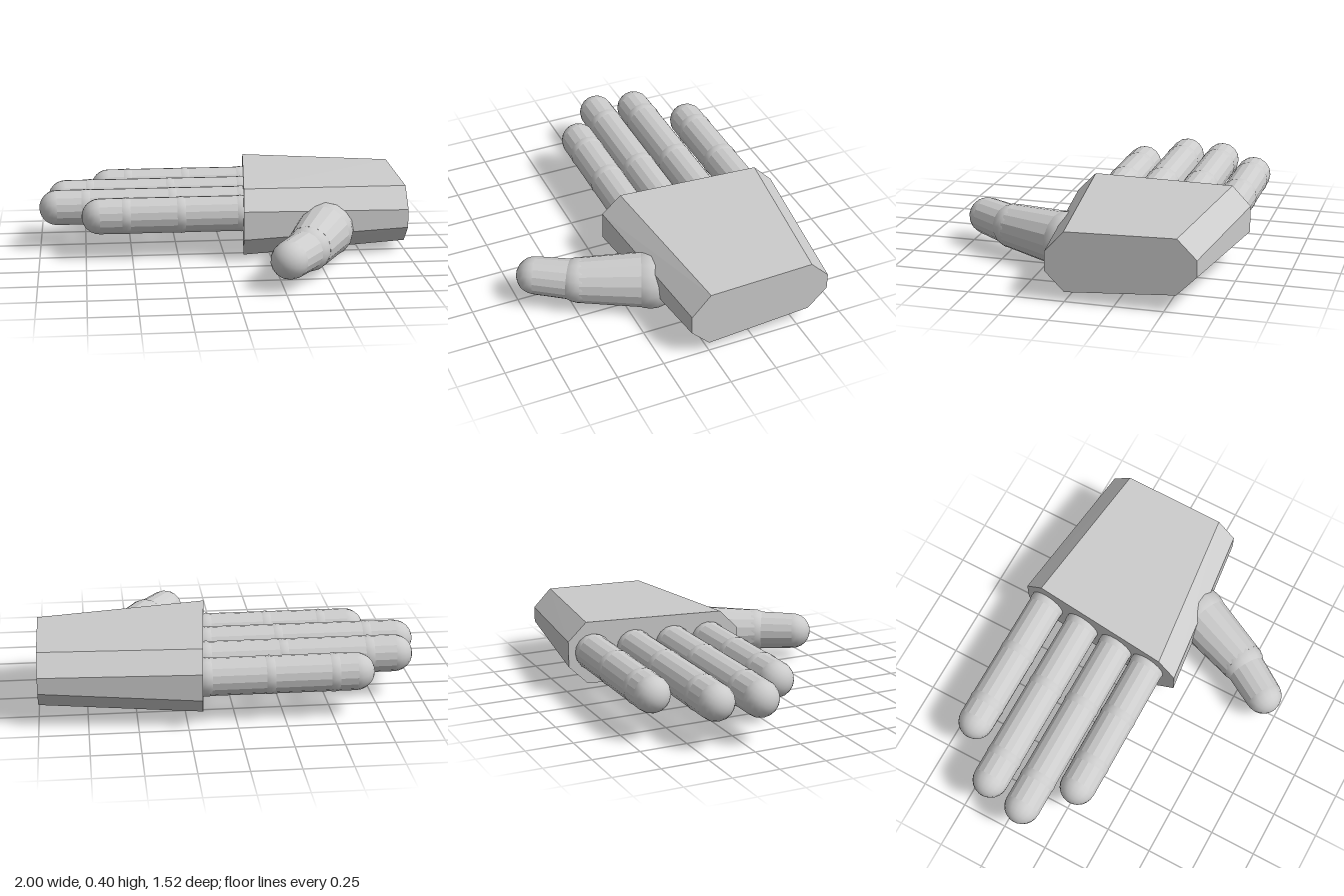
import * as THREE from 'three';
import { ConvexGeometry } from 'three/addons/geometries/ConvexGeometry.js';

const smooth = new THREE.MeshStandardMaterial({ color: 0xcccccc });
const faceted = new THREE.MeshStandardMaterial({ color: 0xcccccc, flatShading: true });
const UP = new THREE.Vector3(0, 1, 0);
const SIDES = 16;

function add(group, geometry, material, name) {
  const mesh = new THREE.Mesh(geometry, material);
  mesh.name = name;
  group.add(mesh);
  return mesh;
}

// Tapered segment from point a to point b
function bone(group, a, b, ra, rb, name) {
  const dir = b.clone().sub(a);
  const mesh = add(group, new THREE.CylinderGeometry(rb, ra, dir.length(), SIDES, 1), faceted, name);
  mesh.position.copy(a).add(b).multiplyScalar(0.5);
  mesh.quaternion.setFromUnitVectors(UP, dir.normalize());
}

// Ball joint whose poles lie along the digit
function ball(group, p, r, dir, name) {
  const mesh = add(group, new THREE.SphereGeometry(r, SIDES, 12), smooth, name);
  mesh.position.copy(p);
  mesh.quaternion.setFromUnitVectors(UP, dir);
}

// Chain of segments; radii: ball radius at each joint, ends: [start, end] radius of each segment
function digit(name, joints, radii, ends) {
  const group = new THREE.Group();
  group.name = name;
  joints.forEach((p, i) => {
    const k = Math.min(i, joints.length - 2);
    const dir = joints[k + 1].clone().sub(joints[k]).normalize();
    ball(group, p, radii[i], dir, i === joints.length - 1 ? 'tip' : 'joint');
    if (i < joints.length - 1) bone(group, p, joints[i + 1], ends[i][0], ends[i][1], 'segment');
  });
  return group;
}

export function createModel() {
  const hand = new THREE.Group();
  hand.name = 'hand';

  // Palm: chamfered block, given as [z, y] outlines at the wrist and the slanted knuckle end
  const wrist = [[0, 0.36], [-0.56, 0.375], [-0.66, 0.275], [-0.66, 0.19],
    [-0.56, 0.09], [0, 0.05], [0.1, 0.15], [0.1, 0.25]];
  const knuckles = [[0.1, 0.387], [-0.66, 0.4], [-0.76, 0.3], [-0.76, 0.16],
    [-0.66, 0.06], [0.1, 0.02], [0.2, 0.13], [0.2, 0.285]];
  const points = [
    ...wrist.map(([z, y]) => new THREE.Vector3(1, y, z)),
    ...knuckles.map(([z, y]) => new THREE.Vector3(0.18 - (z + 0.76) * 0.094, y, z)),
  ];
  add(hand, new ConvexGeometry(points), faceted, 'palm');

  // Fingers: z, then x of base, middle joint, end joint and tip
  const fingers = [
    ['littleFinger', -0.627, 0.15, -0.17, -0.5, -0.71],
    ['ringFinger', -0.395, 0.13, -0.27, -0.72, -0.955],
    ['middleFinger', -0.175, 0.11, -0.27, -0.745, -1.0],
    ['indexFinger', 0.03, 0.09, -0.235, -0.53, -0.77],
  ];
  for (const [name, z, base, mid, end, tip] of fingers) {
    const joints = [base, mid, end, tip + 0.097].map((x) => new THREE.Vector3(x, 0.235, z));
    hand.add(digit(name, joints, [0.1, 0.1, 0.1, 0.097], [[0.097, 0.097], [0.097, 0.097], [0.097, 0.097]]));
  }

  // Thumb
  const thumb = [
    new THREE.Vector3(0.54, 0.153, 0.12),
    new THREE.Vector3(0.4, 0.153, 0.46),
    new THREE.Vector3(0.277, 0.155, 0.656),
  ];
  hand.add(digit('thumb', thumb, [0.153, 0.12, 0.1], [[0.148, 0.119], [0.108, 0.1]]));

  return hand;
}
